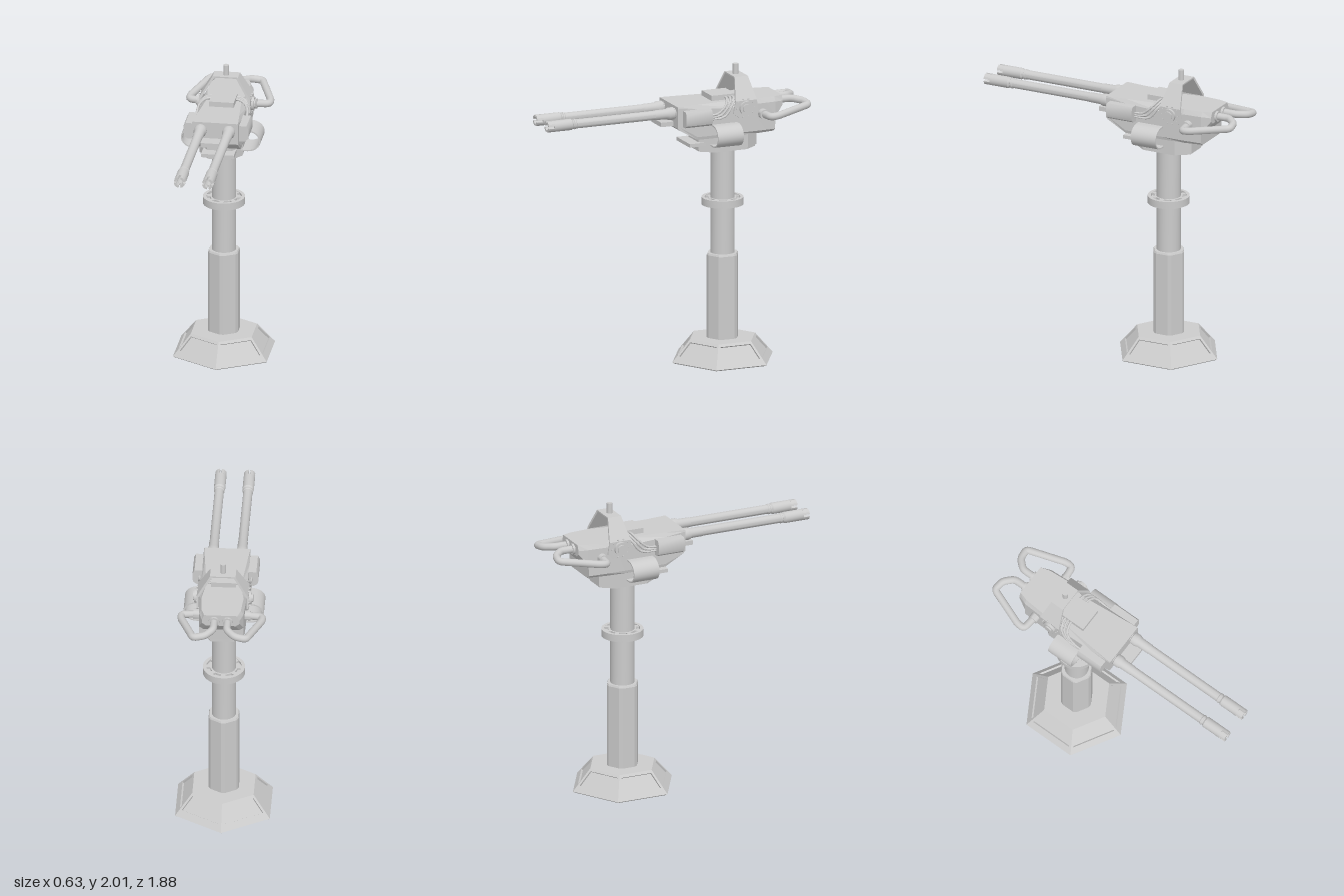
import * as THREE from 'three';
import { toCreasedNormals } from 'three/addons/utils/BufferGeometryUtils.js';

const AXIS_Z = -0.374;
const V = (x, y, z) => new THREE.Vector3(x, y, z);
const mat = new THREE.MeshStandardMaterial({ color: 0xcccccc });

function add(parent, name, geo, x = 0, y = 0, z = 0, crease = 0.6) {
  const mesh = new THREE.Mesh(toCreasedNormals(geo, crease), mat);
  mesh.name = name;
  mesh.position.set(x, y, z);
  parent.add(mesh);
  return mesh;
}

const box = (w, h, d) => new THREE.BoxGeometry(w, h, d);
const poly = (pts) => new THREE.Shape(pts.map(([x, y]) => new THREE.Vector2(x, y)));
const extrude = (shape, depth) =>
  new THREE.ExtrudeGeometry(shape, { depth, bevelEnabled: false, curveSegments: 24 });
const prism = (pts, h) => extrude(poly(pts), h).rotateX(-Math.PI / 2);
const lathe = (pts, n) => new THREE.LatheGeometry(pts.map(([r, y]) => new THREE.Vector2(r, y)), n);

// Joins convex cross-sections into a capped solid
function loft(sections) {
  const out = [];
  const tri = (...p) => p.forEach((v) => out.push(v.x, v.y, v.z));
  const n = sections[0].length;
  for (let i = 0; i + 1 < sections.length; i++) {
    for (let j = 0; j < n; j++) {
      const k = (j + 1) % n;
      const a = sections[i][j], b = sections[i][k], c = sections[i + 1][k], d = sections[i + 1][j];
      tri(a, b, c);
      tri(a, c, d);
    }
  }
  const first = sections[0], last = sections[sections.length - 1];
  for (let j = 1; j + 1 < n; j++) {
    tri(first[0], first[j + 1], first[j]);
    tri(last[0], last[j], last[j + 1]);
  }
  const g = new THREE.BufferGeometry();
  g.setAttribute('position', new THREE.Float32BufferAttribute(out, 3));
  return g;
}

// Path of straight runs with rounded corners
function roundedPath(pts, r) {
  const path = new THREE.CurvePath();
  let prev = pts[0];
  for (let i = 1; i + 1 < pts.length; i++) {
    const a = pts[i].clone().add(pts[i - 1].clone().sub(pts[i]).setLength(r));
    const b = pts[i].clone().add(pts[i + 1].clone().sub(pts[i]).setLength(r));
    path.add(new THREE.LineCurve3(prev, a));
    path.add(new THREE.QuadraticBezierCurve3(a, pts[i], b));
    prev = b;
  }
  path.add(new THREE.LineCurve3(prev, pts[pts.length - 1]));
  return path;
}

function buildBase() {
  const base = new THREE.Group();
  base.name = 'base';
  base.position.z = AXIS_Z;
  const H = 0.145, R0 = 0.363, R1 = 0.235, c = Math.cos(Math.PI / 6);
  const run = (R0 - R1) * c, slant = Math.hypot(run, H);
  const half = (v) => (R0 + (R1 - R0) * (v / slant)) / 2;
  const trapezoid = (v0, v1, m) =>
    [[-half(v0) + m, v0], [half(v0) - m, v0], [half(v1) - m, v1], [-half(v1) + m, v1]];
  for (let k = 0; k < 6; k++) {
    const side = new THREE.Group();
    side.name = 'baseSide';
    side.rotation.y = Math.PI / 6 + (k * Math.PI) / 3;
    const frame = poly(trapezoid(0, slant, 0));
    frame.holes.push(poly(trapezoid(0.05, 0.162, 0.016)));
    for (const [name, shape, d0, d1] of [
      ['baseFrame', frame, -0.014, 0],
      ['basePanel', poly(trapezoid(0.04, 0.17, 0.01)), -0.02, -0.013]]) {
      const g = extrude(shape, d1 - d0).translate(0, 0, d0);
      g.rotateX(-Math.atan2(run, H));
      add(side, name, g, 0, 0, R0 * c);
    }
    base.add(side);
  }
  add(base, 'baseTop', new THREE.CylinderGeometry(R1, R1, 0.012, 6), 0, H - 0.006, 0);
  return base;
}

function buildColumn() {
  const column = new THREE.Group();
  column.name = 'column';
  column.position.z = AXIS_Z;
  // Hexagonal sleeve with trimmed corners
  const sleeve = (s) => {
    const pts = [];
    for (let k = 0; k < 6; k++) for (const d of [-0.12, 0.12]) {
      const a = (k * Math.PI) / 3 + d;
      pts.push([Math.sin(a) * 0.109 * s, -Math.cos(a) * 0.109 * s]);
    }
    return pts;
  };
  const ring = (s, y) => sleeve(s).map(([x, z]) => V(-x, y, z)).map((p) => V(p.x, p.z, y));
  add(column, 'lowerSleeve',
    loft([ring(1, 0.1).reverse(), ring(1, 0.71).reverse(), ring(0.95, 0.722).reverse()])
      .rotateX(-Math.PI / 2), 0, 0, 0, 0.2);
  add(column, 'upperPole', new THREE.CylinderGeometry(0.081, 0.081, 0.76, 24), 0, 1.08, 0);
  // Spoked collar
  add(column, 'collarRing',
    lathe([[0.118, 1.05], [0.14, 1.05], [0.14, 1.1], [0.118, 1.1], [0.118, 1.05]], 32));
  add(column, 'collarHub', new THREE.CylinderGeometry(0.092, 0.092, 0.046, 24), 0, 1.075, 0);
  add(column, 'collarWeb', new THREE.CylinderGeometry(0.12, 0.12, 0.016, 24), 0, 1.075, 0);
  for (let k = 0; k < 8; k++) {
    const a = (k * Math.PI) / 4;
    add(column, 'collarSpoke', box(0.03, 0.046, 0.04),
      Math.sin(a) * 0.105, 1.075, Math.cos(a) * 0.105).rotation.y = a;
  }
  return column;
}

function buildBody() {
  const body = new THREE.Group();
  body.name = 'body';
  // Turntable under the housing
  const outline = (s) => [[0.08, -0.21], [0.145, -0.12], [0.145, 0.12], [0.08, 0.21],
    [-0.08, 0.21], [-0.145, 0.12], [-0.145, -0.12], [-0.08, -0.21]].map(([x, z]) => [x * s, z * s]);
  add(body, 'turntable', prism(outline(1), 0.095), 0, 1.455, AXIS_Z, 0.3);
  add(body, 'turntableFoot', prism(outline(0.96), 0.02), 0, 1.443, AXIS_Z, 0.3);
  add(body, 'lowerTab', box(0.22, 0.024, 0.14), 0, 1.498, -0.16);
  add(body, 'upperTab', box(0.165, 0.03, 0.14), 0, 1.655, 0.035);

  // Housing sections, back to front: z, bottom y, shoulder y, half widths (bottom, side, top)
  const sections = [
    [-0.755, 1.7, 1.745, 0.1, 0.125, 0.11], [-0.692, 1.625, 1.75, 0.12, 0.148, 0.13],
    [-0.69, 1.545, 1.75, 0.12, 0.148, 0.13], [-0.56, 1.545, 1.75, 0.14, 0.155, 0.14],
    [-0.4, 1.545, 1.74, 0.15, 0.155, 0.115], [-0.13, 1.545, 1.755, 0.15, 0.155, 0.14],
    [0, 1.62, 1.77, 0.155, 0.155, 0.152], [0.015, 1.635, 1.77, 0.155, 0.155, 0.152],
  ].map(([z, yb, ys, wb, ws, wt]) => {
    const right = [[wb, yb], [ws, yb + 0.02], [ws, ys], [wt, 1.782]];
    const left = right.map(([x, y]) => [-x, y]).reverse();
    return [...right, ...left].map(([x, y]) => V(x, y, z));
  });
  add(body, 'housing', loft(sections), 0, 0, 0, 0.1);
  add(body, 'topPlate', box(0.165, 0.05, 0.17), 0, 1.792, -0.345);

  // Arched sight bracket: x, y, front z, back z
  const rows = [[0.172, 1.67, -0.42, -0.525], [0.172, 1.7, -0.38, -0.56],
    [0.172, 1.785, -0.395, -0.548], [0.085, 1.93, -0.425, -0.52]];
  const arch = [...rows.map(([x, ...r]) => [-x, ...r]), ...rows.slice().reverse()];
  add(body, 'sightBracket', loft(arch.map(([x, y, f, b]) => {
    const xi = x - Math.sign(x) * 0.012, yi = y > 1.75 ? y - 0.009 : y;
    return [V(x, y, f), V(xi, yi, f), V(xi, yi, b), V(x, y, b)];
  })), 0, 0, 0, 0.1);
  add(body, 'antenna', new THREE.CylinderGeometry(0.019, 0.019, 0.08, 16), 0, 1.96, -0.468);
  return body;
}

function buildBarrel(x) {
  const gun = new THREE.Group();
  gun.name = 'barrel';
  gun.position.set(x, 1.73, 0);
  add(gun, 'barrelTube', lathe([[0, 0], [0.036, 0], [0.036, 0.02], [0.042, 0.025], [0.042, 0.06],
    [0.034, 0.08], [0.033, 0.16], [0.031, 0.165], [0.031, 0.73], [0.035, 0.735], [0.035, 0.745],
    [0.031, 0.748], [0.031, 0.755], [0.038, 0.765], [0.038, 0.895], [0.023, 0.895], [0.023, 0.8],
    [0, 0.8]], 20).rotateX(Math.PI / 2));
  // Slotted muzzle
  for (let k = 0; k < 4; k++) {
    const a = (k * Math.PI) / 2 + 0.2, b = a + Math.PI / 2 - 0.4;
    const s = new THREE.Shape();
    s.absarc(0, 0, 0.038, a, b, false);
    s.absarc(0, 0, 0.023, b, a, true);
    add(gun, 'muzzleProng', extrude(s, 0.045), 0, 0, 0.894);
  }
  return gun;
}

function buildSide(s) {
  const side = new THREE.Group();
  side.name = s > 0 ? 'leftFittings' : 'rightFittings';
  const profile = [[0.14, 1.645], [0.19, 1.645], [0.212, 1.66], [0.218, 1.68], [0.218, 1.73],
    [0.205, 1.755], [0.14, 1.755]].map(([x, y]) => [s * x, y]);
  add(side, 'sideBox', extrude(poly(profile), 0.19), 0, 0, -0.21);

  // Open curved guard
  const arc = (t) => {
    const pts = [[0.135, 1.565 + 0.075 - t]];
    for (let i = 0; i <= 16; i++) {
      const a = Math.PI / 2 - (i / 16) * Math.PI;
      pts.push([0.18 + Math.cos(a) * (0.087 - t), 1.565 + Math.sin(a) * (0.075 - t)]);
    }
    pts.push([0.135, 1.565 - 0.075 + t]);
    return pts.map(([x, y]) => [s * x, y]);
  };
  add(side, 'sideGuard', extrude(poly([...arc(0), ...arc(0.009).reverse()]), 0.185), 0, 0, -0.413);

  // Pivot cap with bolts
  const disc = (r, h) => new THREE.CylinderGeometry(r, r, h, 24).rotateZ(Math.PI / 2);
  add(side, 'pivotCap', disc(0.046, 0.03), s * 0.175, 1.735, -0.468);
  add(side, 'pivotPin', disc(0.03, 0.04), s * 0.18, 1.735, -0.468);
  for (let k = 0; k < 10; k++) {
    const a = (k * Math.PI) / 5;
    add(side, 'pivotBolt', disc(0.005, 0.01), s * 0.172,
      1.735 + Math.sin(a) * 0.062, -0.468 + Math.cos(a) * 0.062);
  }

  // Rear handle
  const grip = roundedPath([V(s * 0.13, 1.68, -0.595), V(s * 0.268, 1.68, -0.61),
    V(s * 0.27, 1.685, -0.66), V(s * 0.175, 1.715, -0.92), V(s * 0.1, 1.725, -0.91),
    V(s * 0.045, 1.735, -0.85), V(s * 0.045, 1.735, -0.72)], 0.025);
  add(side, 'handle', new THREE.TubeGeometry(grip, 72, 0.025, 12), 0, 0, 0, 1);
  add(side, 'handleSocket', disc(0.033, 0.05), s * 0.165, 1.68, -0.597);
  add(side, 'handleRearSocket', new THREE.CylinderGeometry(0.036, 0.036, 0.04, 20)
    .rotateX(Math.PI / 2), s * 0.045, 1.735, -0.75);

  // Cables down to the side box
  for (let i = 0; i < 3; i++) {
    const d = i * 0.024;
    const cable = new THREE.CatmullRomCurve3([V(s * 0.07, 1.8, -0.36 - d),
      V(s * 0.115, 1.797, -0.355 - d), V(s * 0.158, 1.765, -0.33 - d),
      V(s * 0.17, 1.715 - d / 2, -0.27 - d), V(s * 0.172, 1.705 - d / 2, -0.2)]);
    add(side, 'cable', new THREE.TubeGeometry(cable, 24, 0.008, 8), 0, 0, 0, 1);
  }
  return side;
}

export function createModel() {
  const model = new THREE.Group();
  model.name = 'turret';
  model.add(buildBase(), buildColumn(), buildBody());
  for (const s of [1, -1]) model.add(buildBarrel(s * 0.095), buildSide(s));
  return model;
}
